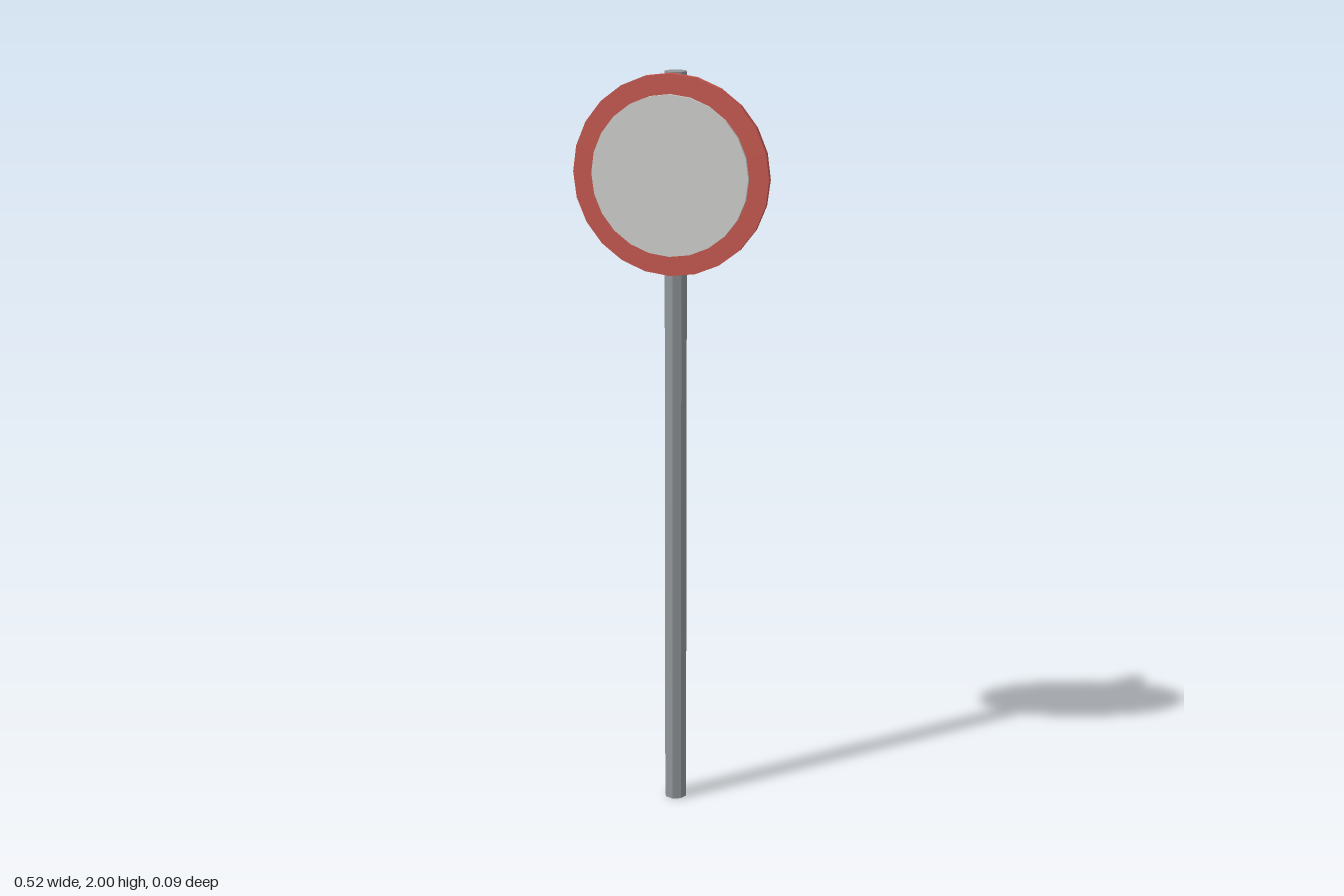
import * as THREE from 'three';

const material = (name, color) => {
  const m = new THREE.MeshStandardMaterial({ color, flatShading: true });
  m.name = name;
  return m;
};

export function createModel() {
  const red = material('signRed', 0xc85a51);
  const white = material('signWhite', 0xd2d2d0);
  const steel = material('poleGrey', 0x92979a);

  const group = new THREE.Group();
  group.name = 'roadSign';
  const add = (name, geometry, mat) => {
    const mesh = new THREE.Mesh(geometry, mat);
    mesh.name = name;
    group.add(mesh);
  };

  // Disc facing +z between two depths
  const signHeight = 1.74;
  const disc = (radius, back, front) =>
    new THREE.CylinderGeometry(radius, radius, front - back, 24)
      .rotateX(Math.PI / 2)
      .translate(0, signHeight, (back + front) / 2);

  // Octagonal pole standing behind the sign
  add('pole', new THREE.CylinderGeometry(0.03, 0.03, 2, 8).translate(0, 1, -0.018), steel);

  // Red backing disc, with the pale face raised in front of it
  add('signDisc', disc(0.26, 0.018, 0.035), red);
  add('signFace', disc(0.208, 0.035, 0.044), white);

  return group;
}
